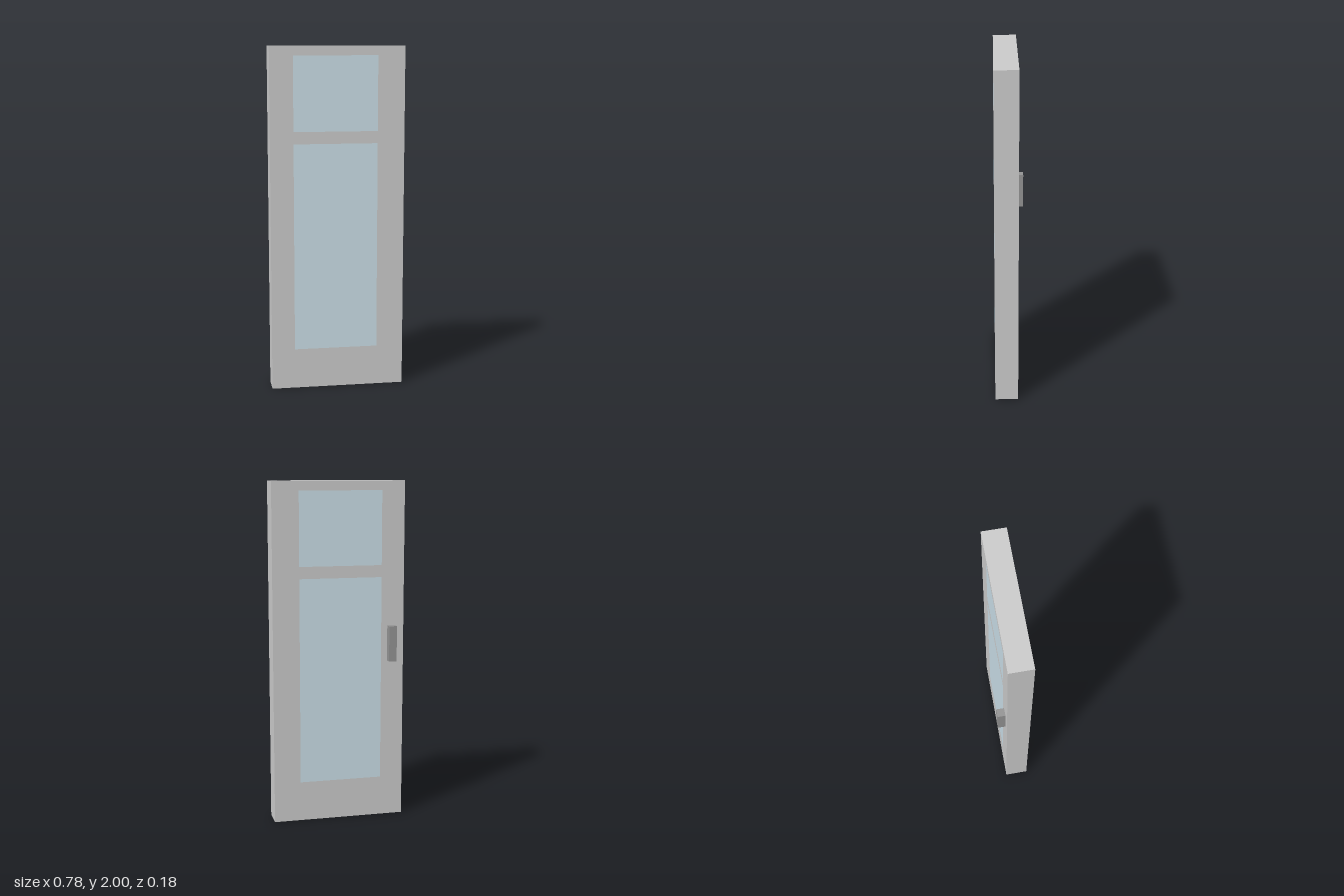
import * as THREE from 'three';

const BACK = -0.045, FRONT = 0.09;

// Named box spanning two opposite corners
function box(name, [x0, y0, z0], [x1, y1, z1], material) {
  const mesh = new THREE.Mesh(new THREE.BoxGeometry(x1 - x0, y1 - y0, z1 - z0), material);
  mesh.position.set((x0 + x1) / 2, (y0 + y1) / 2, (z0 + z1) / 2);
  mesh.name = name;
  return mesh;
}

// Anticlockwise rectangle added to a shape or path
function rect(path, x0, y0, x1, y1) {
  path.moveTo(x0, y0).lineTo(x1, y0).lineTo(x1, y1).lineTo(x0, y1).closePath();
  return path;
}

export function createModel() {
  const door = new THREE.Group();
  door.name = 'door';

  const grey = new THREE.MeshStandardMaterial({ color: 0xcccccc });
  const glass = new THREE.MeshStandardMaterial({ color: 0xcbdfe8 });
  const darkGrey = new THREE.MeshStandardMaterial({ color: 0x949494 });

  const panes = [
    { name: 'lowerPane', y0: 0.235, y1: 1.445 },
    { name: 'upperPane', y0: 1.515, y1: 1.945 },
  ];
  const paneLeft = -0.255, paneRight = 0.233;

  // Door leaf with an opening for each pane, filled flush with glass
  const outline = rect(new THREE.Shape(), -0.39, 0, 0.39, 2);
  for (const { name, y0, y1 } of panes) {
    outline.holes.push(rect(new THREE.Path(), paneLeft, y0, paneRight, y1));
    door.add(box(name, [paneLeft, y0, BACK], [paneRight, y1, FRONT], glass));
  }
  const frame = new THREE.Mesh(
    new THREE.ExtrudeGeometry(outline, { depth: FRONT - BACK, bevelEnabled: false }), grey);
  frame.position.z = BACK;
  frame.name = 'frame';
  door.add(frame);

  // Block handle on the back
  door.add(box('handle', [-0.338, 0.95, -0.09], [-0.292, 1.16, BACK], darkGrey));

  return door;
}
